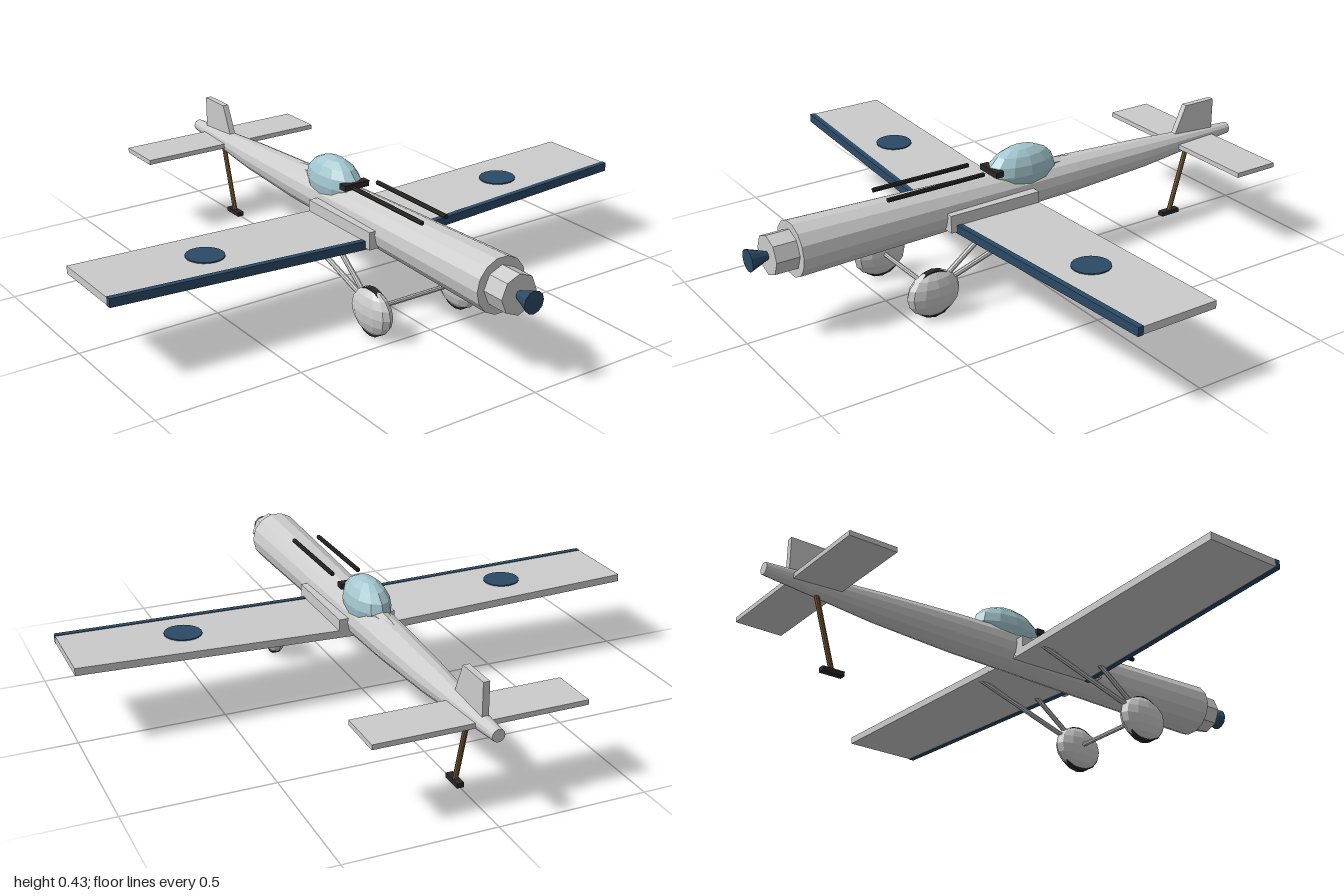
import * as THREE from 'three';

const material = (color) => new THREE.MeshStandardMaterial({ color, flatShading: true });

export function createModel() {
  const model = new THREE.Group();
  const grey = material(0xcccccc);
  const blue = material(0x2b4a66);
  const dark = material(0x2a2826);
  const brown = material(0x7d5c38);
  const glass = material(0xa3c6ce);

  const add = (name, geometry, mat, x = 0, y = 0, z = 0) => {
    const mesh = new THREE.Mesh(geometry, mat);
    mesh.name = name;
    mesh.position.set(x, y, z);
    model.add(mesh);
    return mesh;
  };

  // Round bar between two points
  const bar = (name, from, to, radius, mat, sides = 8) => {
    const a = new THREE.Vector3(...from), b = new THREE.Vector3(...to);
    const dir = b.clone().sub(a);
    const mesh = add(name, new THREE.CylinderGeometry(radius, radius, dir.length(), sides), mat);
    mesh.position.copy(a).add(b).multiplyScalar(0.5);
    mesh.quaternion.setFromUnitVectors(new THREE.Vector3(0, 1, 0), dir.normalize());
    return mesh;
  };

  // Faceted ellipsoid
  const ellipsoid = (rx, ry, rz) => new THREE.SphereGeometry(1, 12, 8).scale(rx, ry, rz);

  // Tapered round section along z, thick ends given front and back
  const barrel = (name, zFront, rFront, zBack, rBack, y, mat, sides) =>
    add(name, new THREE.CylinderGeometry(rFront, rBack, zFront - zBack, sides).rotateX(Math.PI / 2),
      mat, 0, y, (zFront + zBack) / 2);

  // Fuselage: rings along z, then capped
  const stations = [[0.83, 0.094, 0.288], [0.3, 0.082, 0.285], [0, 0.073, 0.284], [-0.25, 0.068, 0.284],
    [-0.56, 0.053, 0.284], [-0.8, 0.034, 0.287], [-0.975, 0.021, 0.29]];
  const sides = 14;
  const points = [], index = [];
  stations.forEach(([z, r, y]) => {
    for (let i = 0; i < sides; i++) {
      const a = (i / sides) * Math.PI * 2;
      points.push(r * Math.cos(a), y + r * Math.sin(a), z);
    }
  });
  for (let s = 0; s < stations.length - 1; s++) {
    for (let i = 0; i < sides; i++) {
      const a = s * sides + i, b = s * sides + ((i + 1) % sides);
      index.push(a, a + sides, b, b, a + sides, b + sides);
    }
  }
  const last = (stations.length - 1) * sides;
  for (let i = 1; i < sides - 1; i++) {
    index.push(0, i, i + 1, last, last + i + 1, last + i);
  }
  const body = new THREE.BufferGeometry();
  body.setAttribute('position', new THREE.Float32BufferAttribute(points, 3));
  body.setIndex(index);
  body.computeVertexNormals();
  add('fuselage', body, grey);

  // Nose, spinner and the spine behind the cockpit
  barrel('noseRing', 0.91, 0.068, 0.82, 0.068, 0.288, grey, 8);
  barrel('spinner', 0.975, 0.038, 0.9, 0.01, 0.288, blue, 12);
  barrel('spine', -0.05, 0.048, -0.46, 0.004, 0.325, grey, 8);

  // Cockpit
  add('canopy', ellipsoid(0.07, 0.087, 0.135), glass, 0, 0.35, -0.043);
  add('cockpitCoaming', new THREE.BoxGeometry(0.1, 0.02, 0.03), dark, 0, 0.37, 0.075);

  // Wing centre section
  add('wingRoot', new THREE.BoxGeometry(0.204, 0.062, 0.35), grey, 0, 0.268, 0.128);

  // Wing slab between two chord lines; z runs from back to front at root and tip
  const wingHeight = (x) => 0.243 + 0.031 * x;
  const wingSlab = (side, backRoot, backTip, frontRoot, frontTip, thick) => {
    const geo = new THREE.BoxGeometry(1, 1, 1);
    const p = geo.attributes.position;
    for (let i = 0; i < p.count; i++) {
      const t = p.getX(i) * side + 0.5;
      const x = 0.05 + 0.95 * t;
      const z = p.getZ(i) > 0 ? THREE.MathUtils.lerp(frontRoot, frontTip, t)
        : THREE.MathUtils.lerp(backRoot, backTip, t);
      p.setXYZ(i, side * x, wingHeight(x) + p.getY(i) * thick, z);
    }
    geo.computeVertexNormals();
    return geo;
  };

  for (const side of [1, -1]) {
    const label = side > 0 ? 'left' : 'right';
    add(label + 'Wing', wingSlab(side, -0.047, -0.043, 0.262, 0.228, 0.026), grey);
    add(label + 'LeadingEdge', wingSlab(side, 0.262, 0.228, 0.282, 0.248, 0.03), blue);

    // Round marking lying on the wing
    const disc = add(label + 'WingDisc', new THREE.CylinderGeometry(0.064, 0.064, 0.008, 20), blue,
      side * 0.6, wingHeight(0.6) + 0.013, 0.11);
    disc.rotation.z = side * 0.031;

    // Rod above the nose
    bar(label + 'NoseRod', [side * 0.048, 0.388, 0.14], [side * 0.048, 0.388, 0.505], 0.008, dark);

    // Undercarriage
    const x = side * 0.175;
    add(label + 'WheelFairing', ellipsoid(0.04, 0.08, 0.098), grey, x, 0.088, 0.42);
    add(label + 'Wheel', new THREE.CylinderGeometry(0.083, 0.083, 0.022, 16).rotateZ(Math.PI / 2),
      dark, x, 0.086, 0.42);
    bar(label + 'FrontStrut', [x, 0.1, 0.42], [x, 0.25, 0.22], 0.009, grey);
    bar(label + 'RearStrut', [x, 0.1, 0.42], [x, 0.245, -0.03], 0.009, grey);
  }
  bar('axle', [-0.175, 0.093, 0.418], [0.175, 0.093, 0.418], 0.008, grey);

  // Tail surfaces
  add('tailplane', new THREE.BoxGeometry(0.71, 0.017, 0.168), grey, 0, 0.284, -0.8);
  const finShape = new THREE.Shape([[0.7, 0.29], [0.722, 0.33], [0.765, 0.425], [0.893, 0.425], [0.893, 0.29]]
    .map(([u, v]) => new THREE.Vector2(u, v)));
  const fin = new THREE.ExtrudeGeometry(finShape, { depth: 0.022, bevelEnabled: false })
    .translate(0, 0, -0.011).rotateY(Math.PI / 2);
  add('fin', fin, grey);

  // Tail skid
  bar('tailSkid', [0, 0.27, -0.79], [0, 0.015, -0.717], 0.009, brown);
  add('skidFoot', new THREE.BoxGeometry(0.024, 0.016, 0.078), dark, 0, 0.011, -0.715);

  return model;
}
